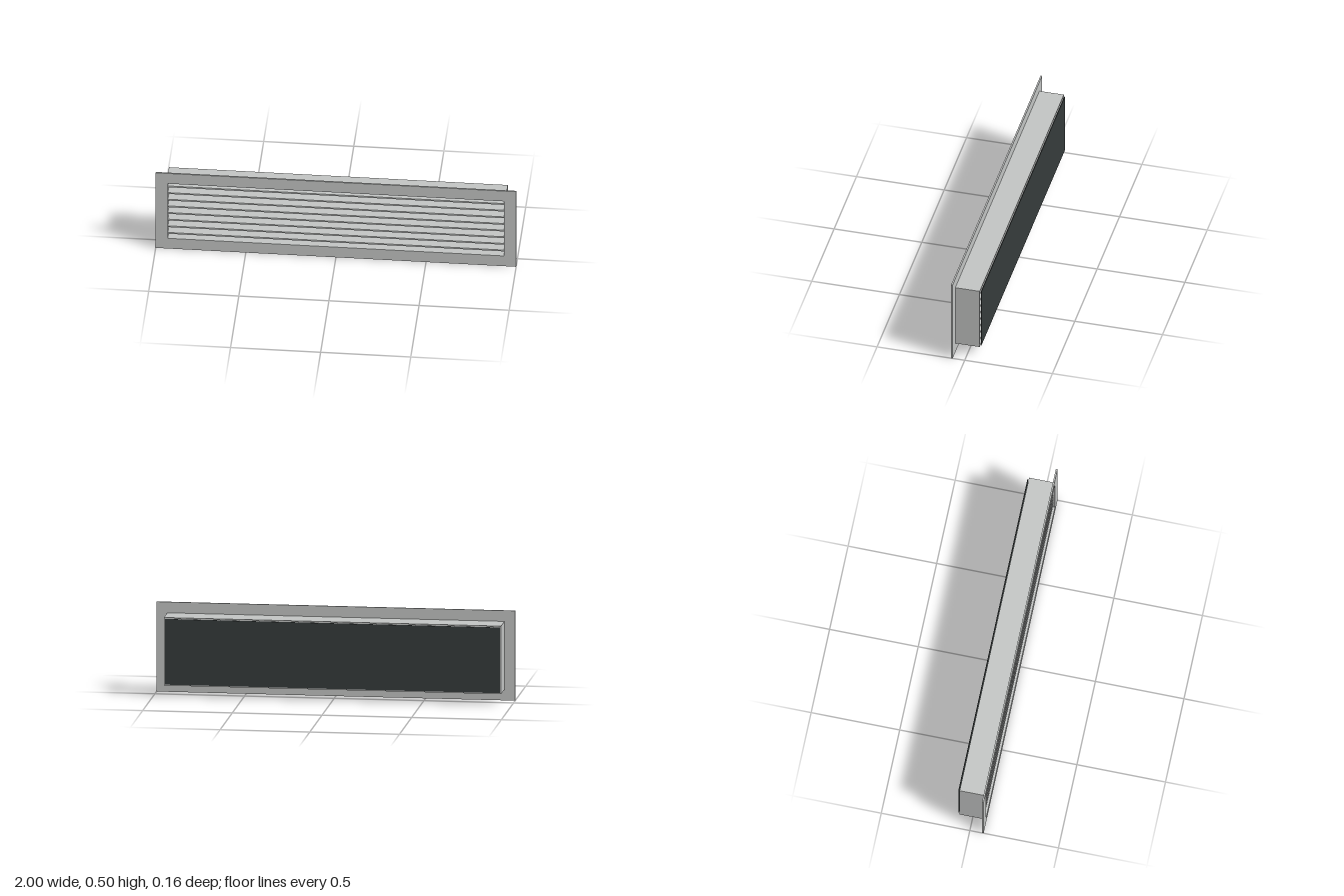
import * as THREE from 'three';

const metal = new THREE.MeshStandardMaterial({ color: 0xc2c4c3 });
metal.name = 'greyMetal';
const dark = new THREE.MeshStandardMaterial({ color: 0x353b3b });
dark.name = 'darkPanel';

const MID_Y = 0.2525;

// Rectangular ring of outer size w x h around an opening, running from z0 to z1
function ring(name, w, h, holeW, holeH, z0, z1) {
  const rect = (Type, a, b) => new Type([
    new THREE.Vector2(-a / 2, -b / 2), new THREE.Vector2(a / 2, -b / 2),
    new THREE.Vector2(a / 2, b / 2), new THREE.Vector2(-a / 2, b / 2),
  ]);
  const shape = rect(THREE.Shape, w, h);
  shape.holes.push(rect(THREE.Path, holeW, holeH));
  const geo = new THREE.ExtrudeGeometry(shape, { depth: z1 - z0, bevelEnabled: false });
  const mesh = new THREE.Mesh(geo, metal);
  mesh.name = name;
  mesh.position.set(0, MID_Y, z0);
  return mesh;
}

function box(name, material, w, h, y, z0, z1) {
  const mesh = new THREE.Mesh(new THREE.BoxGeometry(w, h, z1 - z0), material);
  mesh.name = name;
  mesh.position.set(0, y, (z0 + z1) / 2);
  return mesh;
}

export function createModel() {
  const group = new THREE.Group();
  group.name = 'ventGrille';

  // Flat front flange and the duct collar behind it
  group.add(ring('frontFrame', 2, 0.505, 1.866, 0.368, 0.069, 0.078));
  group.add(ring('ductCollar', 1.88, 0.383, 1.866, 0.368, -0.07, 0.069));

  // Horizontal blades
  const slats = new THREE.Group();
  slats.name = 'slats';
  for (let i = 0; i < 8; i++) {
    slats.add(box('slat', metal, 1.866, 0.009, MID_Y + (i - 3.5) * 0.0447, -0.066, 0.067));
  }
  group.add(slats);

  // Dark panel set just behind the collar
  group.add(box('backPanel', dark, 1.868, 0.369, MID_Y, -0.078, -0.075));
  return group;
}
